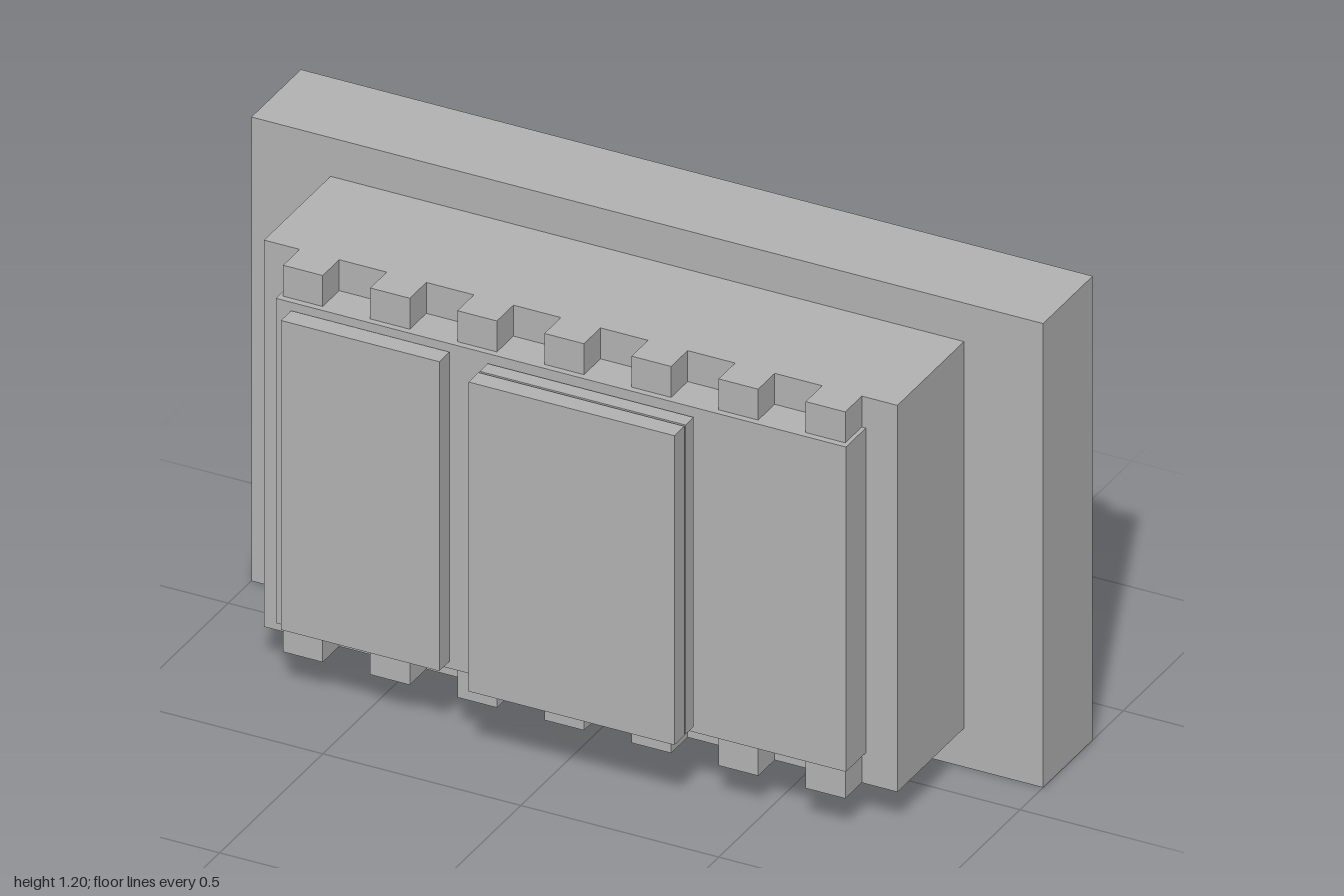
import * as THREE from 'three';

export function createModel() {
  const model = new THREE.Group();
  const grey = new THREE.MeshStandardMaterial({ color: 0xb3b3b3 });
  grey.name = 'grey';

  // Box given by its extents along each axis
  function slab(name, [x0, x1], [y0, y1], [z0, z1], parent = model) {
    const mesh = new THREE.Mesh(new THREE.BoxGeometry(x1 - x0, y1 - y0, z1 - z0), grey);
    mesh.position.set((x0 + x1) / 2, (y0 + y1) / 2, (z0 + z1) / 2);
    mesh.name = name;
    parent.add(mesh);
    return mesh;
  }

  // Stacked body, from back to front
  slab('backCover', [-0.9, 0.9], [0.04, 1.16], [-0.408, -0.36]);
  slab('basePlate', [-1, 1], [0, 1.2], [-0.352, -0.112]);
  slab('block', [-0.8, 0.8], [0.1, 1.1], [-0.112, 0.21]);
  slab('frontPanel', [-0.72, 0.72], [0.18, 1.02], [0.21, 0.306]);

  // Rows of teeth along the top and bottom of the front panel
  const teeth = new THREE.Group();
  teeth.name = 'teeth';
  model.add(teeth);
  for (let i = -3; i <= 3; i++) {
    const x = [i * 0.22 - 0.05, i * 0.22 + 0.05];
    slab('topTooth', x, [1.02, 1.1], [0.21, 0.29], teeth);
    slab('bottomTooth', x, [0.1, 0.18], [0.21, 0.29], teeth);
  }

  // Raised plates in front of the panel
  slab('sidePlate', [-0.68, -0.28], [0.2, 1], [0.309, 0.358]);
  slab('innerPlate', [-0.18, 0.34], [0.2, 1], [0.315, 0.354]);
  slab('outerPlate', [-0.18, 0.34], [0.2, 1], [0.36, 0.408]);

  return model;
}
